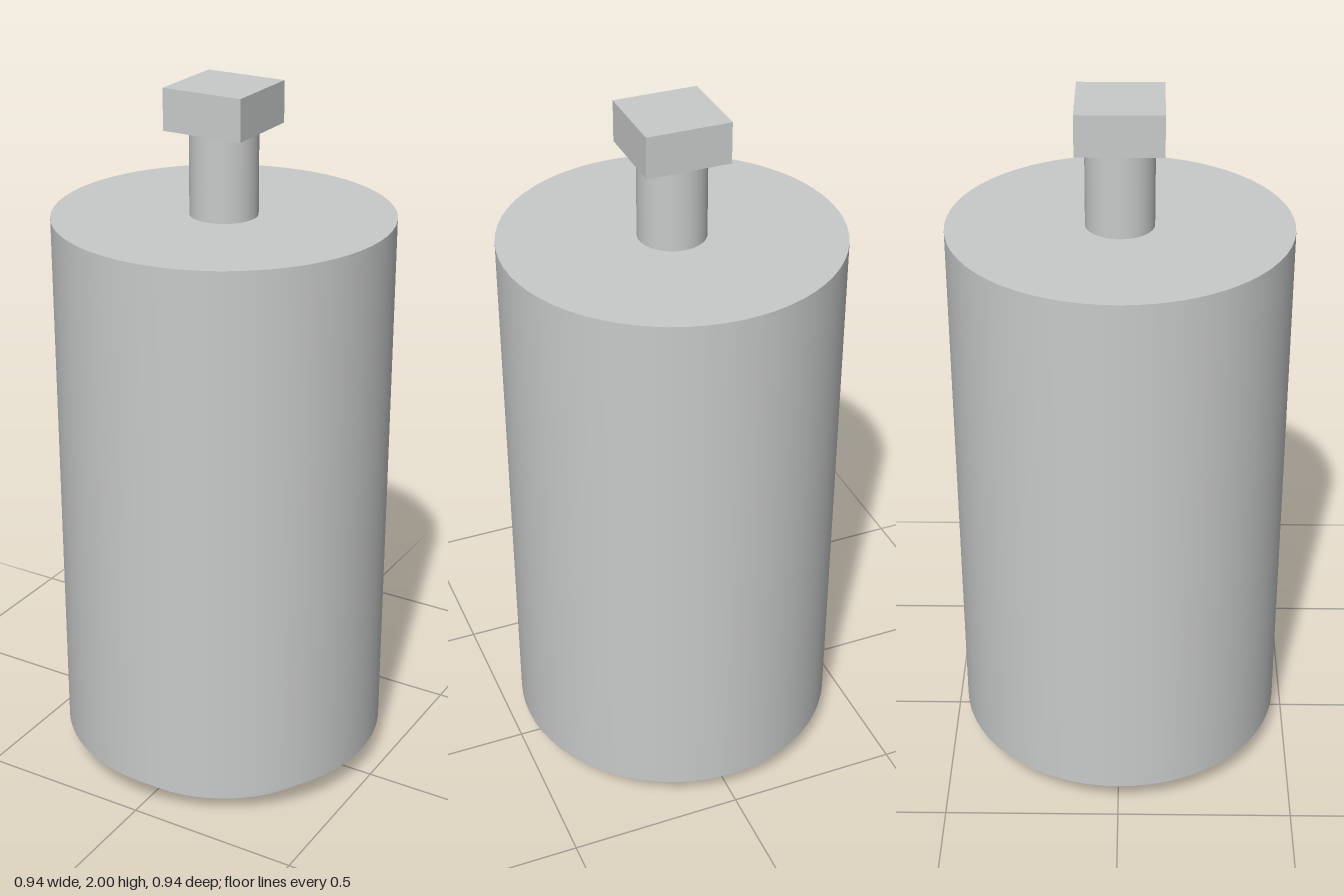
import * as THREE from 'three';

export function createModel() {
  const model = new THREE.Group();
  model.name = 'canister';
  const metal = new THREE.MeshStandardMaterial({ color: 0xc8cac9 });
  metal.name = 'light grey metal';

  const add = (name, geometry, y0, y1) => {
    const mesh = new THREE.Mesh(geometry, metal);
    mesh.name = name;
    mesh.position.y = (y0 + y1) / 2;
    model.add(mesh);
  };
  const cylinder = (name, radius, y0, y1) =>
    add(name, new THREE.CylinderGeometry(radius, radius, y1 - y0, 64), y0, y1);

  // stepped round body, from the foot up to the stem
  cylinder('foot', 0.375, 0, 0.08);
  cylinder('body', 0.47, 0.08, 1.645);
  cylinder('stem', 0.094, 1.645, 1.885);

  // square cap on the stem
  add('squareCap', new THREE.BoxGeometry(0.235, 0.115, 0.235), 1.885, 2);

  return model;
}
